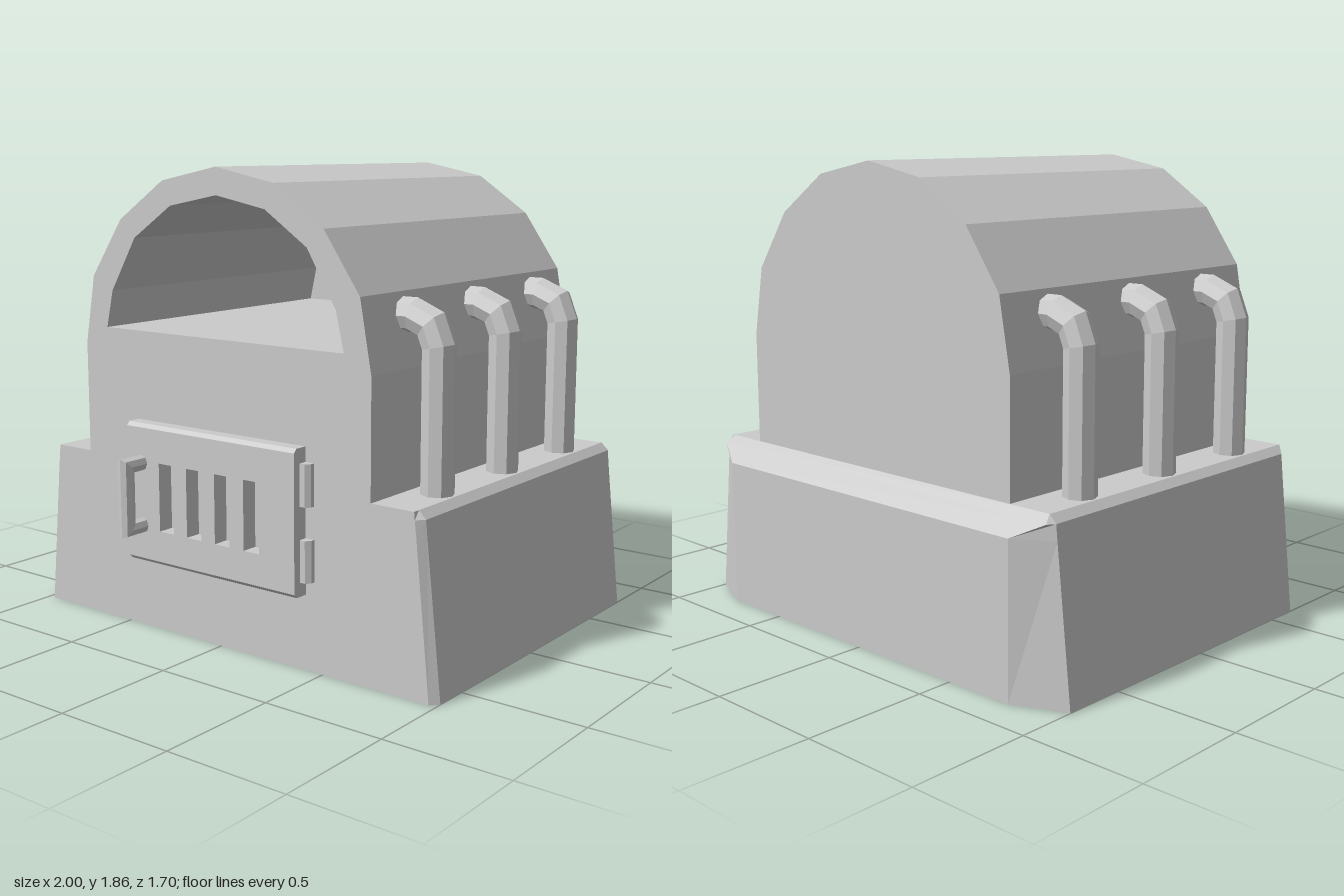
import * as THREE from 'three';

const material = new THREE.MeshStandardMaterial({ color: 0xcccccc, flatShading: true });

// Solid from rings of points; each ring turns right-handed about the direction of advance
function loft(rings) {
  const pos = [];
  const tri = (...pts) => pts.forEach((p) => pos.push(...p));
  const n = rings[0].length;
  for (let i = 0; i + 1 < rings.length; i++) {
    for (let j = 0; j < n; j++) {
      const k = (j + 1) % n;
      const [a, b, c, d] = [rings[i][j], rings[i][k], rings[i + 1][k], rings[i + 1][j]];
      tri(a, b, c);
      tri(a, c, d);
    }
  }
  const first = rings[0], last = rings[rings.length - 1];
  for (let j = 1; j + 1 < n; j++) {
    tri(first[0], first[j + 1], first[j]);
    tri(last[0], last[j], last[j + 1]);
  }
  const geo = new THREE.BufferGeometry();
  geo.setAttribute('position', new THREE.Float32BufferAttribute(pos, 3));
  geo.computeVertexNormals();
  return geo;
}

// Octagonal bar along a path in the xy plane, with mitred corners
function sweep(path, radius, sides = 8) {
  const pts = path.map(([x, y]) => new THREE.Vector2(x, y));
  const dirs = pts.slice(1).map((p, i) => p.clone().sub(pts[i]).normalize());
  return loft(pts.map((p, i) => {
    const before = dirs[Math.max(i - 1, 0)];
    const after = dirs[Math.min(i, dirs.length - 1)];
    const t = before.clone().add(after).normalize();
    const miter = radius / t.dot(after);
    return Array.from({ length: sides }, (_, j) => {
      const a = (j / sides) * Math.PI * 2;
      const c = Math.cos(a) * miter;
      return [p.x - t.y * c, p.y + t.x * c, Math.sin(a) * radius];
    });
  }));
}

// Horizontal ring, mirrored in x, from its +x half listed front to back
function baseRing(y, half) {
  const mirrored = half.slice().reverse().map(([x, z]) => [-x, z]);
  return [...half, ...mirrored].map(([x, z]) => [x, y, z]);
}

// Arch outline, mirrored in x, from its +x half listed bottom to crown
function arch(half) {
  const left = half.slice(0, -1).reverse().map(([x, y]) => [-x, y]);
  return [...half, ...left].map(([x, y]) => new THREE.Vector2(x, y));
}

function rect(x0, x1, y0, y1) {
  return [[x0, y0], [x1, y0], [x1, y1], [x0, y1]].map(([x, y]) => new THREE.Vector2(x, y));
}

export function createModel() {
  const model = new THREE.Group();
  model.name = 'furnace';
  const add = (name, geo) => {
    const mesh = new THREE.Mesh(geo, material);
    mesh.name = name;
    model.add(mesh);
    return mesh;
  };

  // Tapered base with chamfered corners and a sloped back shoulder
  add('base', loft([
    baseRing(0, [[0.97, 0.67], [1, 0.64], [1, -0.76], [0.79, -0.85]]),
    baseRing(0.6, [[0.91, 0.67], [0.936, 0.64], [0.936, -0.76], [0.79, -0.85]]),
    baseRing(0.66, [[0.903, 0.67], [0.93, 0.64], [0.93, -0.76], [0.91, -0.79]]),
    baseRing(0.69, [[0.9, 0.67], [0.9, 0.64], [0.9, -0.76], [0.89, -0.76]]),
  ]));

  // Vaulted hood, hollow at the front and closed by a back wall
  const outer = arch([[0.715, 0.69], [0.715, 1.145], [0.665, 1.42], [0.505, 1.65], [0.275, 1.805], [0, 1.86]]);
  const inner = arch([[0.595, 1.215], [0.56, 1.365], [0.43, 1.58], [0.235, 1.71], [0, 1.755]]);
  const hood = new THREE.Shape(outer);
  hood.holes.push(new THREE.Path(inner));
  const hoodGeo = new THREE.ExtrudeGeometry(hood, { depth: 1.33, bevelEnabled: false });
  add('hood', hoodGeo.translate(0, 0, -0.66));
  const wallGeo = new THREE.ExtrudeGeometry(new THREE.Shape(outer), { depth: 0.1, bevelEnabled: false });
  add('backWall', wallGeo.translate(0, 0, -0.76));

  // Slotted door, its front edge bevelled at the top and bottom
  const [y0, y1, thickness, bevel] = [0.295, 0.858, 0.068, 0.015];
  const door = new THREE.Shape(rect(-0.428, 0.422, y0, y1));
  for (let i = 0; i < 4; i++) {
    const x = -0.257 + i * 0.145;
    door.holes.push(new THREE.Path(rect(x, x + 0.075, 0.435, 0.71)));
  }
  const doorGeo = new THREE.ExtrudeGeometry(door, { depth: thickness, steps: 2, bevelEnabled: false });
  const p = doorGeo.attributes.position;
  for (let i = 0; i < p.count; i++) {
    const z = p.getZ(i), y = p.getY(i);
    if (Math.abs(z - thickness / 2) < 0.001) p.setZ(i, thickness - bevel);
    if (z > thickness - 0.001) p.setY(i, THREE.MathUtils.clamp(y, y0 + bevel, y1 - bevel));
  }
  doorGeo.computeVertexNormals();
  add('door', doorGeo.translate(0, 0, 0.67));

  // Door handle
  const handle = add('doorHandle', sweep([[0.72, 0.701], [0.822, 0.701], [0.822, 0.447], [0.72, 0.447]], 0.032));
  handle.rotation.y = -Math.PI / 2;
  handle.position.x = -0.352;

  // Door hinges
  const hinge = [[0.4, 0.705], [0.445, 0.705], [0.462, 0.688], [0.462, 0.66], [0.4, 0.66]];
  for (const y of [0.35, 0.638]) {
    add('hinge', loft([y, y + 0.162].map((h) => hinge.map(([x, z]) => [x, h, z]))));
  }

  // Three bent pipes on each side
  const pipeGeo = sweep([[0.827, 0.67], [0.827, 1.23], [0.796, 1.306], [0.72, 1.337], [0.655, 1.337]], 0.064);
  for (const side of [1, -1]) {
    for (const z of [0.41, -0.052, -0.515]) {
      const pipe = add(side > 0 ? 'leftPipe' : 'rightPipe', pipeGeo);
      pipe.rotation.y = side > 0 ? 0 : Math.PI;
      pipe.position.z = z;
    }
  }
  return model;
}
